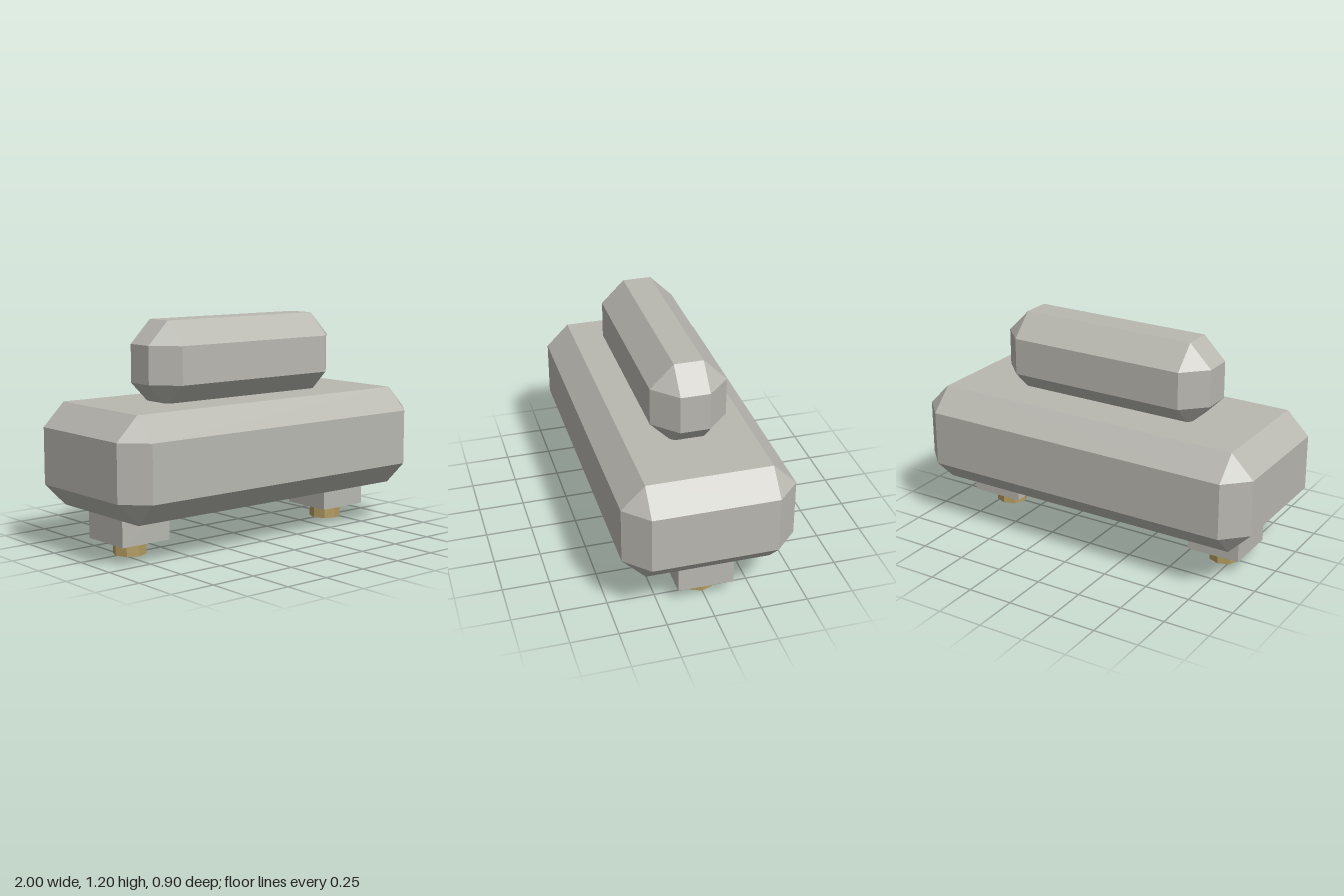
import * as THREE from 'three';
import { ConvexGeometry } from 'three/addons/geometries/ConvexGeometry.js';

// Box with chamfered edges and triangular corner cuts
function chamferBox(hx, hy, hz, c) {
  const points = [];
  for (const sx of [-1, 1]) for (const sy of [-1, 1]) for (const sz of [-1, 1]) {
    points.push(
      new THREE.Vector3(sx * hx, sy * (hy - c), sz * (hz - c)),
      new THREE.Vector3(sx * (hx - c), sy * hy, sz * (hz - c)),
      new THREE.Vector3(sx * (hx - c), sy * (hy - c), sz * hz)
    );
  }
  return new ConvexGeometry(points);
}

export function createModel() {
  const stone = new THREE.MeshStandardMaterial({ color: 0xb8b7b0, flatShading: true });
  stone.name = 'pale grey';
  const brass = new THREE.MeshStandardMaterial({ color: 0xb39c62, flatShading: true });
  brass.name = 'brass';

  const model = new THREE.Group();
  model.name = 'model';
  const add = (name, geometry, material, x, y) => {
    const mesh = new THREE.Mesh(geometry, material);
    mesh.name = name;
    mesh.position.set(x, y, 0);
    model.add(mesh);
  };

  // Wide lower body and the narrow bar resting on it
  add('body', chamferBox(1, 0.2735, 0.45, 0.123), stone, 0, 0.5015);
  add('topBar', chamferBox(0.623, 0.2235, 0.2, 0.123), stone, 0, 0.977);

  // Square legs with octagonal studs
  for (const [side, s] of [['left', 1], ['right', -1]]) {
    add(side + 'Leg', new THREE.BoxGeometry(0.297, 0.18, 0.297), stone, s * 0.7, 0.167);
    add(side + 'Stud', new THREE.CylinderGeometry(0.0875, 0.0875, 0.09, 8), brass, s * 0.7, 0.045);
  }
  return model;
}
